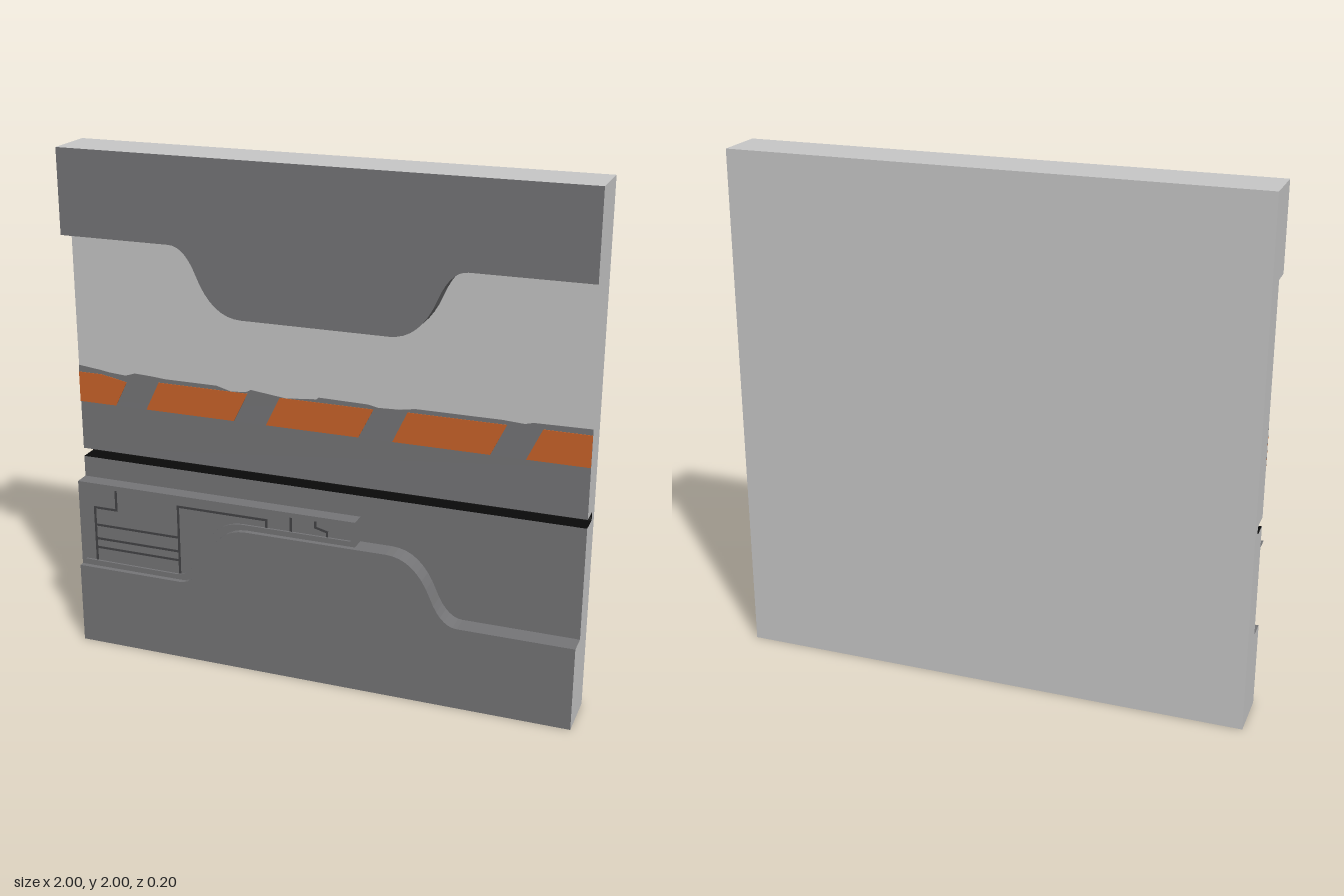
import * as THREE from 'three';

const mat = (name, color) => new THREE.MeshStandardMaterial({ name, color, side: THREE.FrontSide });
const V = (x, y) => new THREE.Vector2(x, y);

// Splits a non-indexed geometry into material groups; the rule gets each
// triangle's normal and centre and returns a material index, or -1 to omit it.
function paint(geometry, rule) {
  const geo = geometry.index ? geometry.toNonIndexed() : geometry;
  const p = geo.attributes.position;
  const a = new THREE.Vector3(), b = new THREE.Vector3(), c = new THREE.Vector3();
  const n = new THREE.Vector3(), mid = new THREE.Vector3();
  const tri = new THREE.Triangle(a, b, c);
  geo.clearGroups();
  for (let i = 0; i < p.count; i += 3) {
    a.fromBufferAttribute(p, i);
    b.fromBufferAttribute(p, i + 1);
    c.fromBufferAttribute(p, i + 2);
    tri.getNormal(n);
    tri.getMidpoint(mid);
    const m = rule(n, mid);
    if (m >= 0) geo.addGroup(i, 3, m);
  }
  return geo;
}

// Extrudes an outline in x,y between two z values
function slab(points, z0, z1, hole) {
  const shape = new THREE.Shape(points);
  if (hole) shape.holes.push(new THREE.Path(hole));
  return new THREE.ExtrudeGeometry(shape, { depth: z1 - z0, bevelEnabled: false }).translate(0, 0, z0);
}

// Right half of the S-shaped shoulder, from the low flat to the raised flat
function shoulder() {
  const low = new THREE.QuadraticBezierCurve(V(0.56, 0.33), V(0.498, 0.33), V(0.455, 0.435));
  const high = new THREE.QuadraticBezierCurve(V(0.455, 0.435), V(0.394, 0.585), V(0.28, 0.585));
  return [...low.getPoints(7), ...high.getPoints(8).slice(1)];
}

export function createModel() {
  const group = new THREE.Group();
  const light = mat('lightGrey', 0xc8c8c8);
  const dark = mat('darkGrey', 0x767678);
  const orange = mat('orange', 0xcc6429);
  const black = mat('black', 0x0a0a0a);
  const seam = mat('seamGrey', 0x444446);
  const palette = [light, dark, black];

  const add = (name, geo, material, parent = group) => {
    const mesh = new THREE.Mesh(geo, material);
    mesh.name = name;
    parent.add(mesh);
    return mesh;
  };

  // Wall panel: side section swept across the width, with a round-bottomed slot
  const section = [V(0.1, 0), V(0.1, 2), V(-0.02, 2), V(-0.02, 1), V(-0.02, 0.803)];
  for (let i = 0; i <= 8; i++) {
    const t = Math.PI / 2 - (i / 8) * Math.PI;
    section.push(V(0.045 + 0.017 * Math.cos(t), 0.786 + 0.017 * Math.sin(t)));
  }
  section.push(V(-0.02, 0.769), V(-0.02, 0));
  const panel = slab(section, -1, 1).rotateY(Math.PI / 2);
  add('wallPanel', paint(panel, (n, c) => {
    if (Math.abs(n.x) > 0.9) return 0;
    if (c.y > 0.765 && c.y < 0.806 && c.z > -0.07 && c.z < 0.0199) return 2;
    return n.z > 0.9 && c.y < 1 ? 1 : 0;
  }), palette);

  // Upper and lower covers with matching curved edges; outer ends stay light
  const right = shoulder();
  const left = right.map(p => V(-p.x, p.y));
  const edge = [V(-1, 0.33), ...left, ...right.slice().reverse(), V(1, 0.33)];
  const outerEnds = (n, c) =>
    Math.abs(n.x) > 0.9 && Math.abs(c.x) > 0.99 || c.y < 0.001 || c.y > 1.999 || n.z < -0.9 ? 0 : 1;
  const lower = [...edge, V(1, 0), V(-1, 0)];
  const upper = [...edge.map(p => V(p.x, 2.005 - p.y)), V(1, 2), V(-1, 2)];
  add('lowerCover', paint(slab(lower, 0.02, 0.1), outerEnds), palette);
  add('upperCover', paint(slab(upper, 0.02, 0.1), outerEnds), palette);

  // Worn dark paint band with an uneven upper edge
  const worn = [[1, 1.142], [0.79, 1.139], [0.76, 1.131], [0.68, 1.136], [0.36, 1.136], [0.3, 1.126],
    [0.22, 1.123], [0.18, 1.131], [-0.01, 1.134], [-0.02, 1.126], [-0.14, 1.115], [-0.21, 1.123],
    [-0.28, 1.131], [-0.3, 1.12], [-0.36, 1.115], [-0.42, 1.131], [-0.63, 1.131], [-0.69, 1.136],
    [-0.76, 1.139], [-0.8, 1.126], [-0.87, 1.131], [-0.91, 1.137], [-1, 1.147]];
  add('paintBand', slab([V(-1, 1), V(1, 1), ...worn.map(([x, y]) => V(x, y))], 0.02, 0.022), dark);

  // Slanted orange stripes, clipped to the panel width
  const clip = (x, y) => V(THREE.MathUtils.clamp(x, -1, 1), y);
  const stripes = new THREE.Group();
  stripes.name = 'warningStripes';
  group.add(stripes);
  for (let i = 0; i < 5; i++) {
    const x = -1.21 + i * 0.495;
    const top = i === 1 || i === 2 ? 1.115 : 1.12;
    const outline = i === 0
      ? [V(-1, 1), V(-0.845, 1), V(-0.795, 1.1), V(-0.9, 1.12), V(-1, 1.12)]
      : [clip(x, 1), clip(x + 0.365, 1), clip(x + 0.422, top), clip(x + 0.056, top)];
    add('stripe', slab(outline, 0.022, 0.024), orange, stripes);
  }

  // Raised equipment plate resting on the lower cover, open at its outer end
  const unit = new THREE.Group();
  unit.name = 'equipmentPlate';
  group.add(unit);
  const openEnd = (n, c) => (n.x < -0.9 && c.x < -0.99) || n.z < -0.9 ? -1 : 1;
  const outer = [V(-1, 0.33), ...left, V(0.155, 0.585), V(0.155, 0.685), V(-1, 0.685)];
  const inner = [V(-0.983, 0.353), ...left.map(p => V(p.x - 0.022, p.y + 0.021)),
    V(0.138, 0.606), V(0.138, 0.666), V(-0.983, 0.666)];
  add('plateBody', paint(slab(outer, 0.02, 0.072), openEnd), palette, unit);
  add('plateRim', paint(slab(outer, 0.072, 0.08, inner), openEnd), palette, unit);

  // Panel seams as thin strips along simple paths
  const paths = [
    [[-0.935, 0.353], [-0.935, 0.58], [-0.84, 0.58], [-0.84, 0.666]],
    [[-0.572, 0.353], [-0.572, 0.637], [-0.203, 0.637], [-0.203, 0.606]],
    [[-0.103, 0.666], [-0.103, 0.606]],
    [[-0.005, 0.666], [-0.005, 0.638], [0.042, 0.626], [0.042, 0.606]],
    ...[0.506, 0.447, 0.409].map(y => [[-0.935, y], [-0.572, y]]),
  ];
  for (const path of paths) {
    for (let i = 1; i < path.length; i++) {
      const [x0, y0] = path[i - 1], [x1, y1] = path[i];
      const strip = add('plateSeam',
        new THREE.BoxGeometry(Math.hypot(x1 - x0, y1 - y0) + 0.008, 0.009, 0.003), seam, unit);
      strip.position.set((x0 + x1) / 2, (y0 + y1) / 2, 0.0725);
      strip.rotation.z = Math.atan2(y1 - y0, x1 - x0);
    }
  }
  return group;
}
